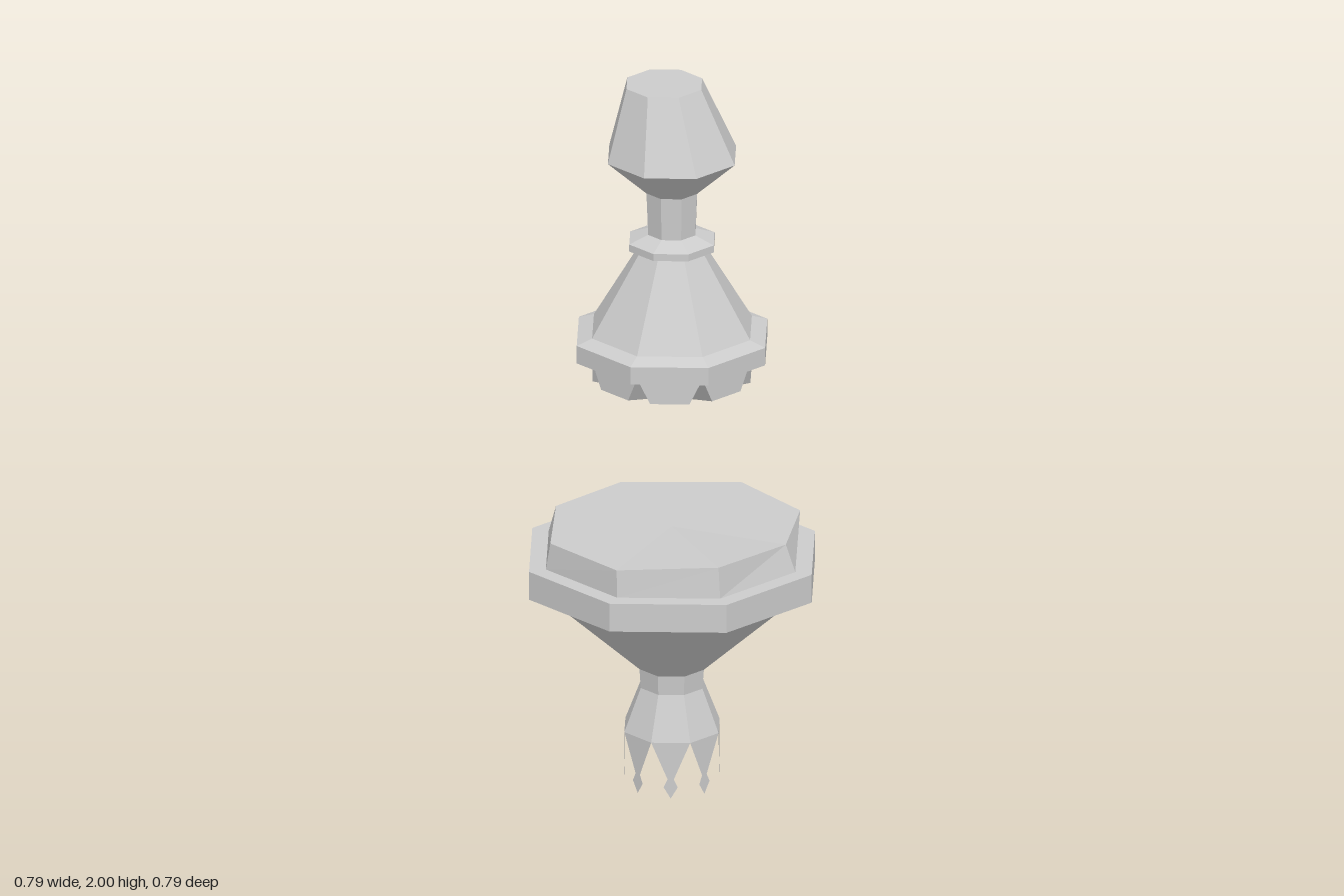
import * as THREE from 'three';

const SIDES = 8;
const START = Math.PI / 12; // all parts share the same turned octagon
const STEP = (Math.PI * 2) / SIDES;
const material = new THREE.MeshStandardMaterial({ color: 0xcccccc, flatShading: true, side: THREE.DoubleSide });

const corner = (k, r, y) => new THREE.Vector3(r * Math.sin(START + k * STEP), y, r * Math.cos(START + k * STEP));

// Eight-sided turned part from [radius, height] pairs, bottom to top
function turned(name, profile) {
  const points = profile.map(([r, y]) => new THREE.Vector2(r, y));
  const mesh = new THREE.Mesh(new THREE.LatheGeometry(points, SIDES, START), material);
  mesh.name = name;
  return mesh;
}

// Faceted part: facets(k) returns convex polygons for octagon side k
function faceted(name, facets) {
  const pos = [];
  for (let k = 0; k < SIDES; k++) {
    for (const poly of facets(k)) {
      for (let i = 1; i < poly.length - 1; i++) {
        for (const p of [poly[0], poly[i], poly[i + 1]]) pos.push(p.x, p.y, p.z);
      }
    }
  }
  const geo = new THREE.BufferGeometry();
  geo.setAttribute('position', new THREE.Float32BufferAttribute(pos, 3));
  geo.computeVertexNormals();
  const mesh = new THREE.Mesh(geo, material);
  mesh.name = name;
  return mesh;
}

export function createModel() {
  const group = new THREE.Group();

  // Lower piece: flared stem and shallow bowl with a broad rim
  group.add(turned('lowerStem', [[0.136, 0.16], [0.089, 0.28], [0.093, 0.335]]));
  group.add(turned('bowl', [[0.093, 0.335], [0.36, 0.58], [0.408, 0.58], [0.408, 0.66], [0.36, 0.66]]));

  // Pointed teeth below the stem, each ending in a small diamond
  group.add(faceted('stemTeeth', (k) => {
    const a = corner(k, 0.136, 0.16), b = corner(k + 1, 0.136, 0.16);
    const at = (t, y) => a.clone().lerp(b, t).setY(y);
    return [
      [a, at(0.42, 0.055), at(0.58, 0.055), b],
      [at(0.42, 0.055), at(0.32, 0.032), at(0.5, 0), at(0.68, 0.032), at(0.58, 0.055)],
    ];
  }));

  // Uneven slab lying on the bowl: top corners [x, y, z]
  const slabTop = [
    [0.085, 0.735, 0.322], [0.298, 0.735, 0.198], [0.355, 0.735, -0.05], [0.155, 0.735, -0.3],
    [-0.088, 0.735, -0.327], [-0.305, 0.735, -0.17], [-0.342, 0.735, 0.088], [-0.175, 0.745, 0.302],
  ].map((p) => new THREE.Vector3(...p));
  const slabCentre = new THREE.Vector3(0, 0.732, 0);
  group.add(faceted('bowlTop', (k) => {
    const a = slabTop[k], b = slabTop[(k + 1) % SIDES];
    return [[corner(k, 0.36, 0.66), corner(k + 1, 0.36, 0.66), b, a], [a, b, slabCentre]];
  }));

  // Upper piece: notched crown under the flange
  group.add(faceted('crown', (k) => {
    const a = corner(k, 0.228, 1.24), b = corner(k + 1, 0.228, 1.24);
    const p = a.clone().lerp(b, 0.2).setY(1.168), q = a.clone().lerp(b, 0.8).setY(1.168);
    const c = corner(k, 0.122, 1.145), d = corner(k + 1, 0.122, 1.145);
    return [
      [a, p, q, b], // tooth face
      [p, c, d, q], // tooth underside
      [a, c, p], [b, q, d], // notch walls
      [c, new THREE.Vector3(0, 1.16, 0), d], // shallow hollow
    ];
  }));

  // Flange, bell-shaped body, collar and neck
  group.add(turned('flange', [[0, 1.24], [0.272, 1.24], [0.272, 1.29], [0.228, 1.305]]));
  group.add(turned('body', [[0.228, 1.305], [0.09, 1.535]]));
  group.add(turned('collar', [[0.09, 1.535], [0.122, 1.54], [0.122, 1.56], [0.068, 1.58]]));
  group.add(turned('neck', [[0.068, 1.58], [0.073, 1.7]]));

  // Knob, its flat top pushed slightly back
  const knob = turned('knob', [[0.073, 1.7], [0.183, 1.8], [0.108, 2], [0, 2]]);
  const pos = knob.geometry.attributes.position;
  for (let i = 0; i < pos.count; i++) {
    if (pos.getY(i) > 1.99) pos.setXYZ(i, pos.getX(i) - 0.003, 2, pos.getZ(i) - 0.024);
  }
  knob.geometry.computeVertexNormals();
  group.add(knob);

  return group;
}
